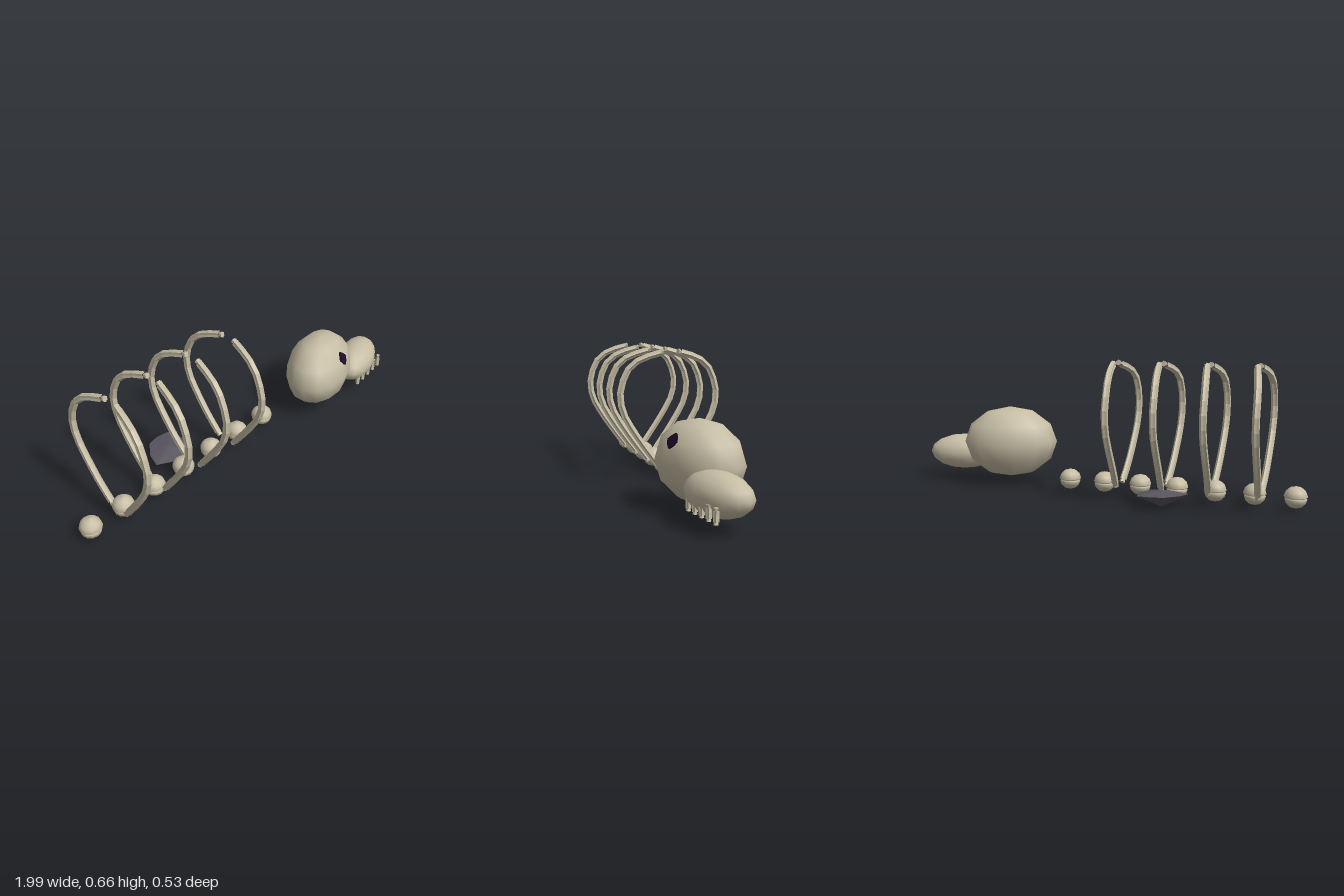
import * as THREE from 'three';
import { ConvexGeometry } from 'three/addons/geometries/ConvexGeometry.js';

const bone = new THREE.MeshStandardMaterial({ color: 0xc6bda4 });
bone.name = 'bone';
const stone = new THREE.MeshStandardMaterial({ color: 0x58555e });
stone.name = 'stone';
const socket = new THREE.MeshStandardMaterial({ color: 0x1e0a26 });
socket.name = 'eyeSocket';

const V = (x, y, z) => new THREE.Vector3(x, y, z);

function add(parent, name, geometry, material, position = [0, 0, 0]) {
  const mesh = new THREE.Mesh(geometry, material);
  mesh.name = name;
  mesh.position.set(...position);
  parent.add(mesh);
  return mesh;
}

function flat(geometry) {
  const g = geometry.toNonIndexed();
  g.computeVertexNormals();
  return g;
}

// Fluted bone rod along a curve, with small flared ends
function flutedRod(name, points, radius, segments) {
  const group = new THREE.Group();
  group.name = name;
  const curve = new THREE.CatmullRomCurve3(points);
  const sides = 10;
  const tube = new THREE.TubeGeometry(curve, segments, radius, sides);
  const p = tube.attributes.position, n = tube.attributes.normal;
  for (let i = 0; i < p.count; i++) {
    if ((i % (sides + 1)) % 2 === 0) continue;
    const d = radius * 0.28;
    p.setXYZ(i, p.getX(i) - n.getX(i) * d, p.getY(i) - n.getY(i) * d, p.getZ(i) - n.getZ(i) * d);
  }
  add(group, name + 'Shaft', flat(tube), bone);
  for (const t of [0, 1]) {
    const dir = curve.getTangentAt(t).multiplyScalar(t ? 1 : -1);
    const geo = flat(new THREE.CylinderGeometry(radius * 0.85, radius * 0.6, radius, 6));
    const end = add(group, name + 'End', geo, bone);
    end.position.copy(curve.getPointAt(t)).addScaledVector(dir, radius * 0.35);
    end.quaternion.setFromUnitVectors(V(0, 1, 0), dir);
  }
  return group;
}

function ellipsoid(parent, name, radii, center, widthSegments, heightSegments) {
  const geo = new THREE.SphereGeometry(1, widthSegments, heightSegments).scale(...radii);
  const mesh = add(parent, name, geo, bone, center);
  mesh.rotation.y = 0.35;
  return mesh;
}

export function createModel() {
  const model = new THREE.Group();
  model.name = 'skeletonRemains';

  // Spine: a row of grooved vertebrae
  const profile = [
    [0, 0.013], [0.027, 0.021], [0.045, 0.038], [0.051, 0.057], [0.045, 0.059],
    [0.045, 0.065], [0.054, 0.068], [0.046, 0.092], [0.027, 0.109], [0, 0.116],
  ].map(([r, y]) => new THREE.Vector2(r, y));
  const vertebra = new THREE.LatheGeometry(profile, 12);
  for (let i = 0; i < 7; i++) add(model, 'vertebra', vertebra, bone, [-0.946 + i * 0.184, 0, 0]);

  // Ribs: four mirrored pairs, [x offset, y, z]
  const ribPath = [
    [0.015, 0.07, 0.055], [0.008, 0.14, 0.107], [0.004, 0.22, 0.163], [0, 0.345, 0.235],
    [-0.002, 0.435, 0.251], [-0.002, 0.51, 0.235], [0.002, 0.572, 0.203],
    [0.012, 0.612, 0.15], [0.032, 0.644, 0.05],
  ];
  for (const x of [-0.80, -0.572, -0.345, -0.117]) {
    for (const side of [1, -1]) {
      const points = ribPath.map(([dx, y, z]) => V(x + dx, y, z * side));
      model.add(flutedRod(side > 0 ? 'leftRib' : 'rightRib', points, 0.0175, 12));
    }
  }

  // Skull and snout
  const skull = new THREE.Group();
  skull.name = 'skull';
  model.add(skull);
  ellipsoid(skull, 'cranium', [0.24, 0.183, 0.162], [0.525, 0.222, 0.072], 14, 6);
  ellipsoid(skull, 'snout', [0.183, 0.0925, 0.1], [0.82, 0.148, 0.102], 14, 8);

  // Eye socket: thin irregular plate lying on the cranium
  const outline = [];
  for (let i = 0; i < 12; i++) {
    const a = (i / 12) * Math.PI * 2, r = i % 3 === 0 ? 0.036 : 0.029;
    outline.push(new THREE.Vector2(Math.cos(a) * r, Math.sin(a) * r));
  }
  const plate = new THREE.ExtrudeGeometry(new THREE.Shape(outline), { depth: 0.009, bevelEnabled: false });
  const eye = add(skull, 'eyeSocket', plate, socket, [0.552, 0.316, 0.197]);
  eye.quaternion.setFromUnitVectors(V(0, 0, 1), V(0.25, 0.52, 0.82).normalize());

  // Teeth: a row of short pegs under the snout
  for (let i = 0; i < 5; i++) {
    const t = i / 4;
    const x = 0.728 + t * 0.222, z = 0.193 - t * 0.03;
    skull.add(flutedRod('tooth', [V(x, 0.12, z), V(x, 0.098, z), V(x, 0.076, z)], 0.0125, 2));
  }

  // Faceted rock behind the ribs
  const rock = new ConvexGeometry([
    V(-0.36, 0.083, -0.147), V(-0.362, 0.003, -0.147),
    V(-0.478, 0.062, -0.10), V(-0.455, 0.066, -0.175), V(-0.40, 0.068, -0.24),
    V(-0.345, 0.068, -0.252), V(-0.275, 0.066, -0.245), V(-0.25, 0.06, -0.155),
    V(-0.29, 0.06, -0.06), V(-0.40, 0.06, -0.06),
    V(-0.44, 0.04, -0.12), V(-0.33, 0.04, -0.215), V(-0.275, 0.04, -0.16), V(-0.34, 0.04, -0.052),
  ]);
  add(model, 'rock', rock, stone);

  return model;
}
